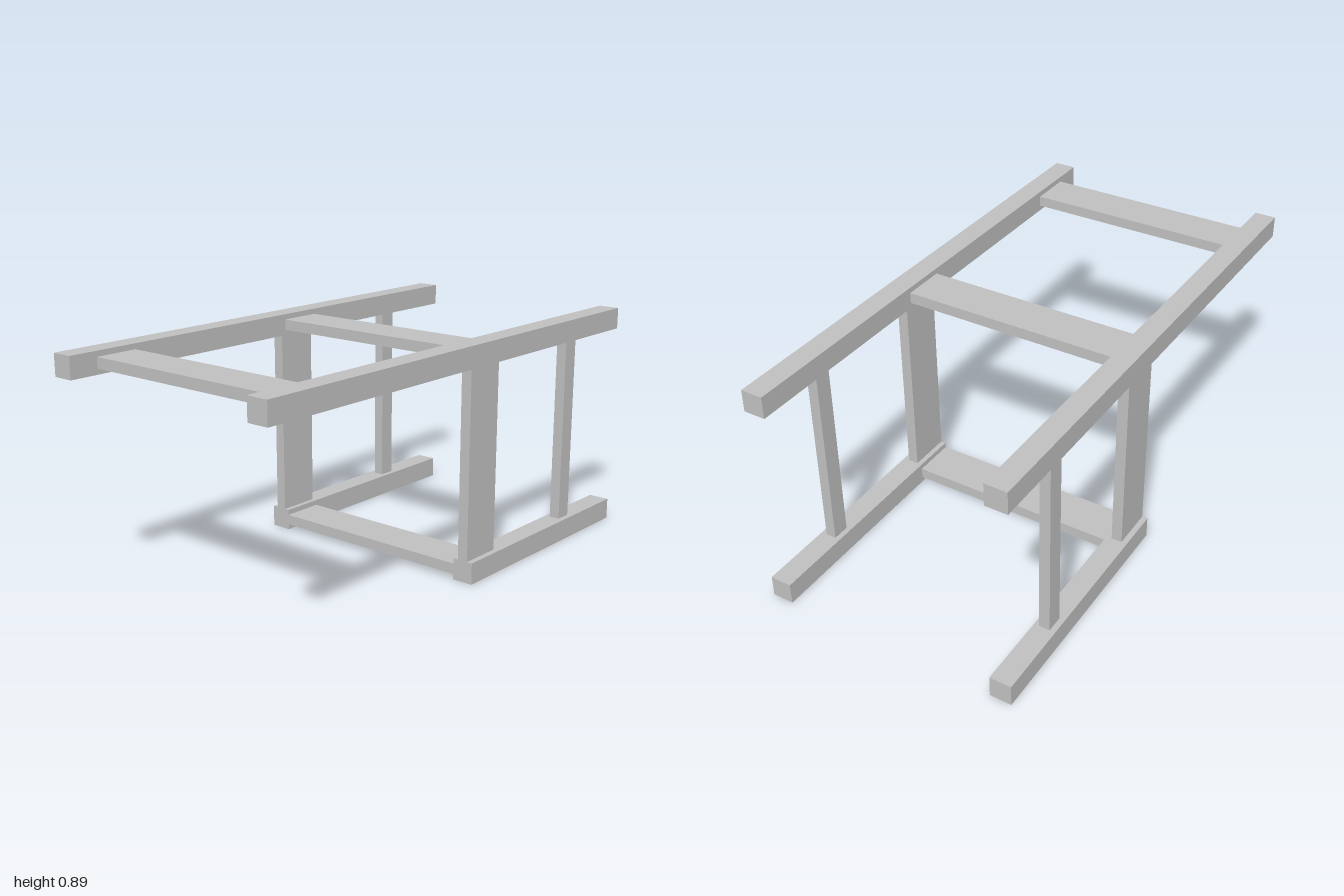
import * as THREE from 'three';

export function createModel() {
  const model = new THREE.Group();
  const grey = new THREE.MeshStandardMaterial({ color: 0xbfbfbf });
  grey.name = 'plain grey';

  // Box between two extents on each axis
  function beam(name, [x0, x1], [y0, y1], [z0, z1]) {
    const mesh = new THREE.Mesh(new THREE.BoxGeometry(x1 - x0, y1 - y0, z1 - z0), grey);
    mesh.position.set((x0 + x1) / 2, (y0 + y1) / 2, (z0 + z1) / 2);
    mesh.name = name;
    model.add(mesh);
  }

  const frontZ = [-0.197, -0.03];
  const railBottom = 0.807, railTop = 0.89, size = 0.083;

  // Mirrored side frames: long upper rail, short lower rail, two uprights
  for (const [side, s] of [['left', 1], ['right', -1]]) {
    const span = (a, b) => (s > 0 ? [a, b] : [-b, -a]);
    beam(side + 'UpperRail', span(0.417, 0.5), [railBottom, railTop], [-1, 1]);
    beam(side + 'LowerRail', span(0.417, 0.5), [0, size], [-1, -0.03]);
    beam(side + 'WidePost', span(0.437, 0.478), [size, railBottom], frontZ);
    beam(side + 'ThinPost', span(0.437, 0.478), [size, railBottom], [-0.718, -0.652]);
  }

  // Flat cross planks joining the two sides
  const width = [-0.417, 0.417];
  beam('upperFrontPlank', width, [0.828, 0.869], [0.72, 0.887]);
  beam('upperMiddlePlank', width, [0.828, 0.869], frontZ);
  beam('lowerPlank', width, [0.021, 0.062], frontZ);

  return model;
}
